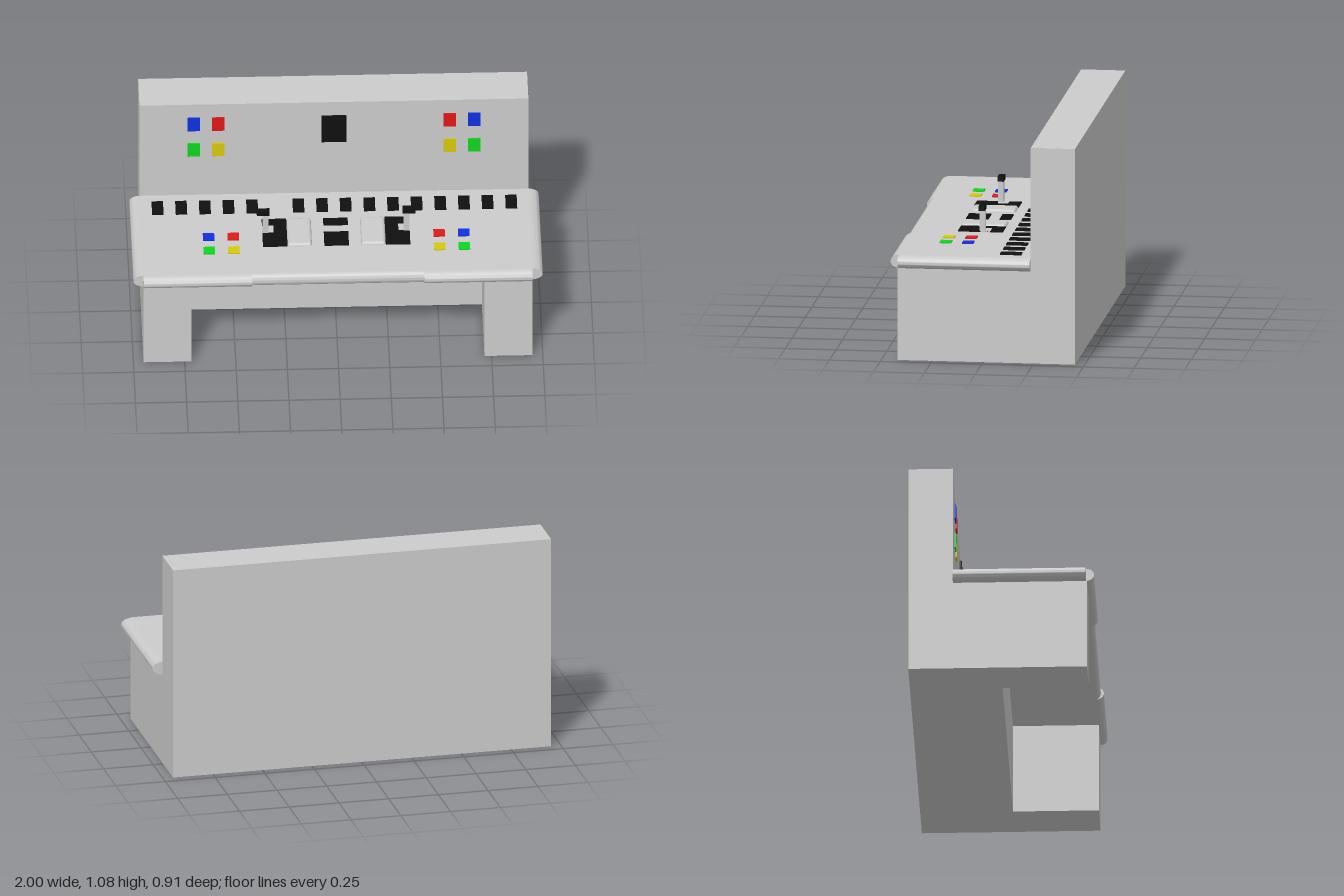
import * as THREE from 'three';
import { RoundedBoxGeometry } from 'three/addons/geometries/RoundedBoxGeometry.js';
import { toCreasedNormals } from 'three/addons/utils/BufferGeometryUtils.js';

const material = (color) => new THREE.MeshStandardMaterial({ color });
const GREY = material(0xcccccc);
const BLACK = material(0x101010);
const BLUE = material(0x1030e0);
const RED = material(0xe01818);
const GREEN = material(0x10d820);
const YELLOW = material(0xd8c810);

const DESK_BOTTOM = 0.46, DESK_TOP = 0.525;
const BACK = -0.453, WALL = -0.235;

export function createModel() {
  const model = new THREE.Group();
  model.name = 'controlConsole';

  const add = (name, geometry, mat = GREY) => {
    const mesh = new THREE.Mesh(geometry, mat);
    mesh.name = name;
    model.add(mesh);
    return mesh;
  };
  // Box given by its minimum and maximum along each axis
  const box = (name, [x0, x1], [y0, y1], [z0, z1], mat, radius = 0) => {
    const size = [x1 - x0, y1 - y0, z1 - z0];
    const geometry = radius ? new RoundedBoxGeometry(...size, 3, radius) : new THREE.BoxGeometry(...size);
    geometry.translate((x0 + x1) / 2, (y0 + y1) / 2, (z0 + z1) / 2);
    return add(name, geometry, mat);
  };

  // Base: U-shaped plan with an open knee space, extruded upwards
  const plan = new THREE.Shape([
    [-0.95, BACK], [0.95, BACK], [0.95, 0.42], [0.715, 0.42],
    [0.715, 0], [-0.715, 0], [-0.715, 0.42], [-0.95, 0.42],
  ].map(([x, z]) => new THREE.Vector2(x, -z)));
  const base = new THREE.ExtrudeGeometry(plan, { depth: DESK_BOTTOM, bevelEnabled: false });
  add('base', base.rotateX(-Math.PI / 2));

  // Upright back panel
  box('backPanel', [-0.95, 0.95], [DESK_BOTTOM, 1.075], [BACK, WALL]);

  // Desk slab and its half-round edges
  box('deskTop', [-0.95, 0.95], [DESK_BOTTOM, DESK_TOP], [WALL, 0.415]);
  const edge = (depth, length) => {
    const shape = new THREE.Shape();
    shape.absellipse(0, 0, depth, (DESK_TOP - DESK_BOTTOM) / 2, -Math.PI / 2, Math.PI / 2);
    const geometry = new THREE.ExtrudeGeometry(shape, { depth: length, bevelEnabled: false, curveSegments: 10 });
    return toCreasedNormals(geometry.translate(0, 0, -length / 2), 0.7);
  };
  const edgeY = (DESK_TOP + DESK_BOTTOM) / 2;
  add('frontEdgeMiddle', edge(0.025, 0.84).rotateY(-Math.PI / 2)).position.set(0, edgeY, 0.415);
  for (const s of [-1, 1]) {
    const side = s > 0 ? 'left' : 'right';
    add(side + 'FrontEdge', edge(0.04, 0.53).rotateY(-Math.PI / 2)).position.set(s * 0.685, edgeY, 0.415);
    const end = add(side + 'SideEdge', edge(0.05, 0.65));
    end.position.set(s * 0.95, edgeY, 0.09);
    if (s < 0) end.rotation.y = Math.PI;
  }

  // Centre screen on the back panel
  box('screen', [-0.06, 0.06], [0.84, 0.995], [WALL, -0.223], BLACK);

  // Row of dark keys along the rear of the desk, with one gap
  for (let i = 0; i < 16; i++) {
    if (i === 5) continue;
    const x = -0.865 + i * 0.1155 + (i > 5 ? -0.005 : 0);
    box('rearKey', [x - 0.028, x + 0.028], [DESK_TOP - 0.005, 0.531], [-0.18, -0.075], BLACK);
  }

  // Middle key pair
  box('middleKeyRear', [-0.06, 0.06], [DESK_TOP - 0.005, 0.53], [-0.02, 0.035], BLACK);
  box('middleKeyFront', [-0.06, 0.06], [DESK_TOP - 0.005, 0.53], [0.09, 0.2], BLACK);

  // Coloured lamps: outer and inner columns, upper and lower rows
  const lamps = [[BLUE, 1, 0], [RED, 0, 0], [GREEN, 1, 1], [YELLOW, 0, 1]];
  for (const s of [-1, 1]) {
    const side = s > 0 ? 'left' : 'right';
    const span = (a, b) => (s > 0 ? [a, b] : [-b, -a]);
    for (const [mat, column, row] of lamps) {
      const wallX = 0.565 + column * 0.12, wallY = 0.957 - row * 0.155;
      box(side + 'WallLamp', span(wallX - 0.031, wallX + 0.031), [wallY - 0.039, wallY + 0.039], [WALL - 0.005, -0.228], mat);
      const deskX = 0.503 + column * 0.12, deskZ = 0.115 + row * 0.11;
      box(side + 'DeskLamp', span(deskX - 0.028, deskX + 0.028), [DESK_TOP - 0.005, 0.531], [deskZ - 0.028, deskZ + 0.028], mat);
    }

    // Joystick station: dark plate, hand rest, stem and cap
    box(side + 'StickPlate', span(0.24, 0.36), [DESK_TOP - 0.005, 0.531], [-0.02, 0.2], BLACK);
    box(side + 'HandRest', span(0.12, 0.24), [0.505, 0.539], [-0.02, 0.2], GREY, 0.015);
    box(side + 'StickFoot', span(0.305, 0.36), [DESK_TOP, 0.534], [0.04, 0.09]);
    box(side + 'StickStem', span(0.33, 0.358), [DESK_TOP, 0.636], [0.066, 0.094]);
    box(side + 'StickCap', span(0.325, 0.387), [0.635, 0.66], [0.065, 0.095], BLACK);
  }

  return model;
}
